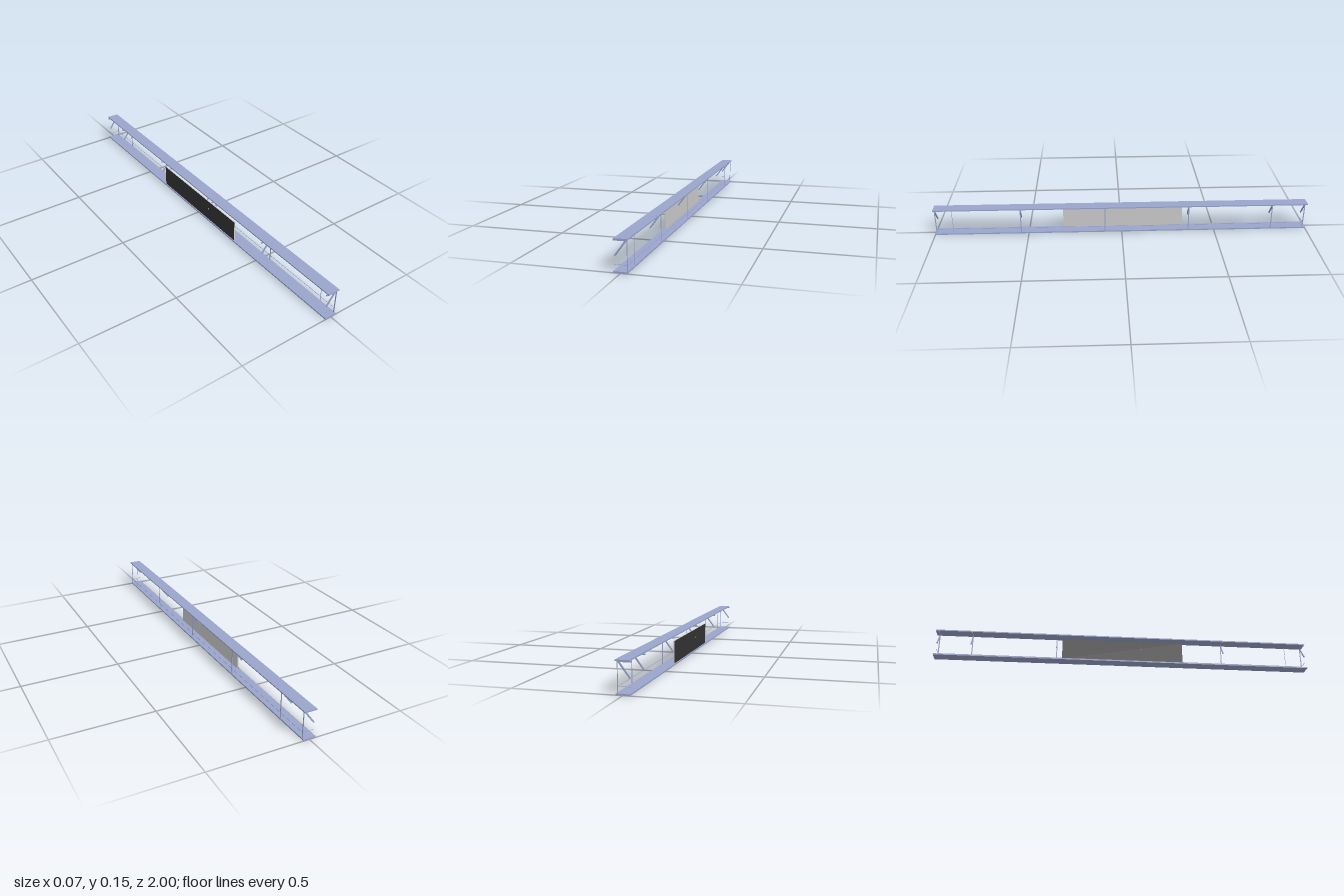
import * as THREE from 'three';

export function createModel() {
  const group = new THREE.Group();
  const blue = new THREE.MeshStandardMaterial({ color: 0x9aa4cc });
  const grey = new THREE.MeshStandardMaterial({ color: 0xcccccc });
  const dark = new THREE.MeshStandardMaterial({ color: 0x333333 });

  // Box given by its minimum and maximum corners
  function box(name, [x0, y0, z0], [x1, y1, z1], material = blue) {
    const mesh = new THREE.Mesh(new THREE.BoxGeometry(x1 - x0, y1 - y0, z1 - z0), material);
    mesh.position.set((x0 + x1) / 2, (y0 + y1) / 2, (z0 + z1) / 2);
    mesh.name = name;
    group.add(mesh);
    return mesh;
  }

  // Long floor and roof slabs
  box('floor', [-0.032, 0, -1], [0.03, 0.007, 1]);
  box('roof', [-0.029, 0.141, -1], [0.033, 0.147, 1]);

  // Back panel with a dark outer face
  box('backPanel', [-0.0265, 0.007, -0.33], [-0.021, 0.119, 0.315], grey);
  box('panelBacking', [-0.027, 0.007, -0.33], [-0.0265, 0.119, 0.315], dark);

  // Frames: post, roof beam and diagonal brace
  const braceShape = new THREE.Shape([
    [-0.030, 0.073], [-0.026, 0.067], [0.025, 0.135], [0.016, 0.135],
  ].map(([x, y]) => new THREE.Vector2(x, y)));
  const braceGeometry = new THREE.ExtrudeGeometry(braceShape, { depth: 0.005, bevelEnabled: false });

  for (const z of [0.99, 0.54, 0.09, -0.36, -0.81, -0.985]) {
    box('post', [0.026, 0.007, z - 0.0025], [0.028, 0.141, z + 0.0025]);
    box('roofBeam', [-0.034, 0.135, z - 0.0025], [0.027, 0.141, z + 0.0025]);
    const brace = new THREE.Mesh(braceGeometry, blue);
    brace.position.z = z - 0.0025;
    brace.name = 'brace';
    group.add(brace);
  }

  // Slim extra post near the front end
  box('slimPost', [0.0263, 0.007, 0.9], [0.0277, 0.141, 0.902]);

  // Thin guard rail along the open side and across both ends
  box('sideRail', [0.0263, 0.033, -0.985], [0.0277, 0.0345, 0.99]);
  for (const z of [0.99, -0.985]) {
    box('endRail', [-0.028, 0.033, z - 0.0008], [0.027, 0.0345, z + 0.0008]);
  }

  return group;
}
